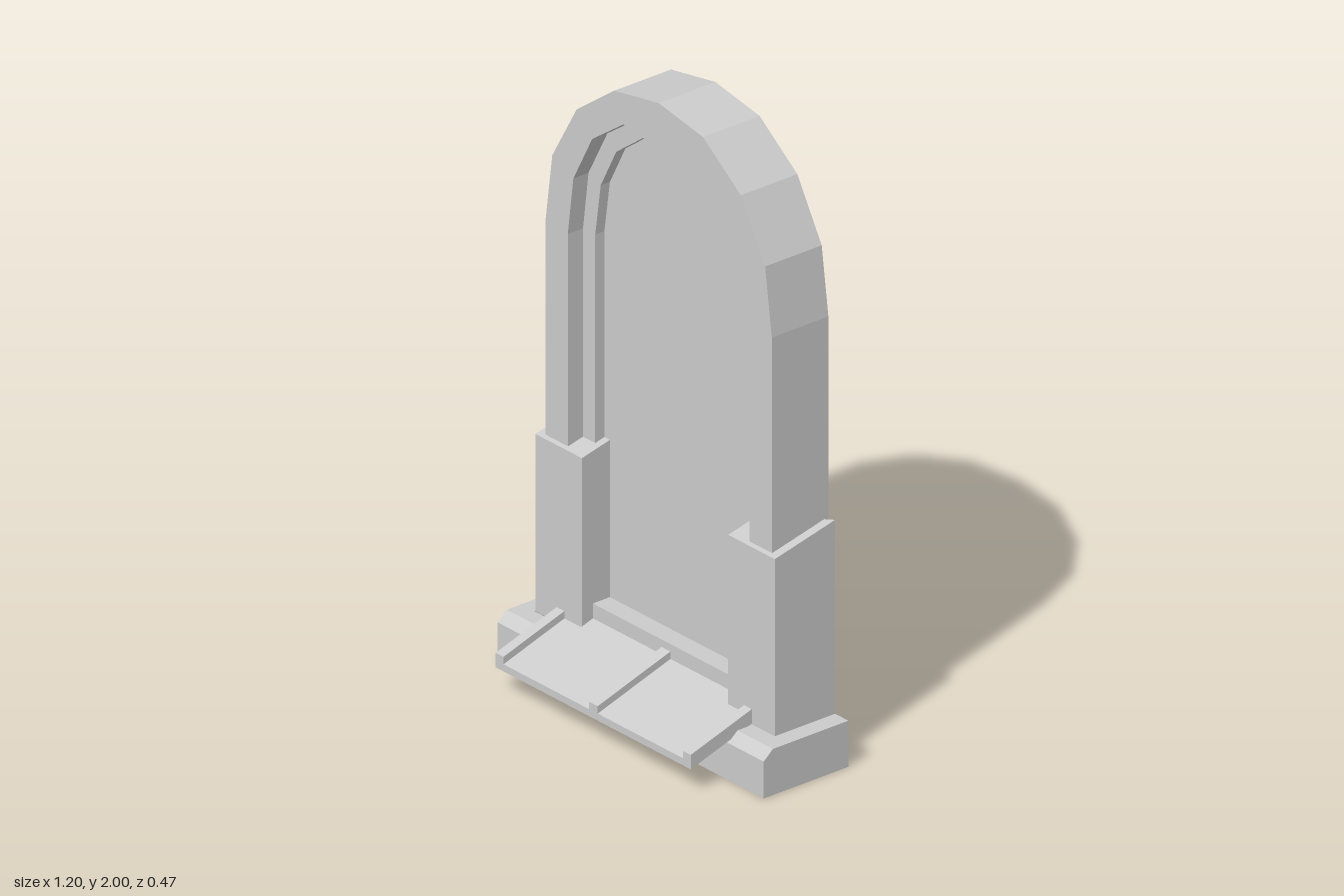
import * as THREE from 'three';

const BACK = -0.233, FACE = -0.017, LEDGE = -0.075, PANE = -0.11;

// Right half of each arch curve, from crown to springing line
const OUTER = [[0, 2], [0.2, 1.965], [0.37, 1.84], [0.48, 1.65], [0.51, 1.43]];
const MIDDLE = [[0, 1.9], [0.16, 1.87], [0.3, 1.77], [0.385, 1.61], [0.41, 1.42]];
const INNER = [[0, 1.84], [0.14, 1.815], [0.26, 1.725], [0.33, 1.59], [0.355, 1.42]];

export function createModel() {
  const model = new THREE.Group();
  const material = new THREE.MeshStandardMaterial({
    color: 0xcccccc, flatShading: true, side: THREE.DoubleSide,
  });

  function add(name, geometry) {
    const mesh = new THREE.Mesh(geometry, material);
    mesh.name = name;
    model.add(mesh);
    return mesh;
  }

  // Sheet of quads spanned between two polylines of equal length
  function band(name, a, b) {
    const pos = [];
    for (let i = 0; i < a.length - 1; i++) {
      pos.push(...a[i], ...b[i], ...b[i + 1], ...a[i], ...b[i + 1], ...a[i + 1]);
    }
    const g = new THREE.BufferGeometry();
    g.setAttribute('position', new THREE.Float32BufferAttribute(pos, 3));
    g.computeVertexNormals();
    return add(name, g);
  }

  // Sheet that sweeps a [z, y] profile from x0 to x1
  const sweep = (name, profile, x0, x1) =>
    band(name, profile.map(([z, y]) => [x0, y, z]), profile.map(([z, y]) => [x1, y, z]));

  // Solid with a closed [z, y] profile between x0 and x1
  function prism(name, profile, x0, x1) {
    const shape = new THREE.Shape(profile.map(([z, y]) => new THREE.Vector2(-z, y)));
    const g = new THREE.ExtrudeGeometry(shape, { depth: x1 - x0, bevelEnabled: false });
    g.rotateY(Math.PI / 2).translate(x0, 0, 0);
    return add(name, g);
  }

  // Full arch outline, from the foot at -x over the crown to the foot at +x
  function arch(half, foot) {
    const right = [...half, [half[4][0], foot]];
    const left = right.slice(1).reverse().map(([x, y]) => [-x, y]);
    return [...left, ...right];
  }
  const at = (line, z) => line.map(([x, y]) => [x, y, z]);

  // Arch: outer side, front face, two stepped reveals and the panel
  const outer = arch(OUTER, 0.73), middle = arch(MIDDLE, 0.2), inner = arch(INNER, 0.2);
  band('archOuterSide', at(outer, BACK), at(outer, FACE));
  band('archFace', at(outer, FACE), at(arch(MIDDLE, 0.73), FACE));
  band('archReveal', at(middle, FACE), at(middle, LEDGE));
  band('archLedge', at(middle, LEDGE), at(inner, LEDGE));
  band('panelReveal', at(inner, LEDGE), at(inner, PANE));
  const paneShape = new THREE.Shape(arch(INNER, 0.24).map(([x, y]) => new THREE.Vector2(x, y)));
  add('panel', new THREE.ShapeGeometry(paneShape)).position.z = PANE;

  // Pillars: hollow at the back, sloping tops
  const topY = (z) => 0.725 - z * 0.236;
  for (const s of [-1, 1]) {
    const plan = [[0.33, -0.12], [0.33, -0.003], [0.54, -0.003], [0.54, BACK]];
    const foot = plan.map(([x, z]) => [s * x, 0.15, z]);
    const head = plan.map(([x, z]) => [s * x, topY(z), z]);
    band('pillarWalls', foot, head);
    band('pillarTop', [head[0], head[1]], [head[3], head[2]]);
  }

  // Base: open at the back, chamfered front edge
  sweep('baseFront', [[BACK, 0], [0.09, 0], [0.09, 0.12]], -0.6, 0.6);
  for (const s of [-1, 1]) {
    sweep('baseChamfer', [[0.09, 0.12], [0.055, 0.15], [0, 0.15]], s * 0.42, s * 0.6);
    sweep('baseTop', [[0, 0.15], [BACK, 0.15]], s * 0.54, s * 0.6);
    band('baseEnd',
      [[s * 0.6, 0, BACK], [s * 0.6, 0, 0.055], [s * 0.6, 0, 0.09]],
      [[s * 0.6, 0.15, BACK], [s * 0.6, 0.15, 0.055], [s * 0.6, 0.12, 0.09]]);
  }

  // Sloping apron with three ribs
  const slope = (y, z) => y + (0.233 - z) * 0.32;
  const line = (y, z) => [z, slope(y, z)];
  sweep('apron', [line(0.08, 0.09), line(0.08, 0.233), line(0.103, 0.233), line(0.103, 0)], -0.44, 0.44);
  sweep('apronRear', [line(0.103, 0), line(0.103, -0.045)], -0.33, 0.33);
  for (const [x0, x1, z] of [[-0.44, -0.405, 0], [-0.02, 0.02, -0.045], [0.405, 0.44, 0]]) {
    prism('apronRib', [line(0.08, 0.233), line(0.127, 0.233), line(0.127, z), line(0.08, z)], x0, x1);
  }

  // Sill below the panel
  sweep('sill', [[-0.045, 0.19], [-0.045, 0.24], [PANE, 0.24]], -0.335, 0.335);

  return model;
}
